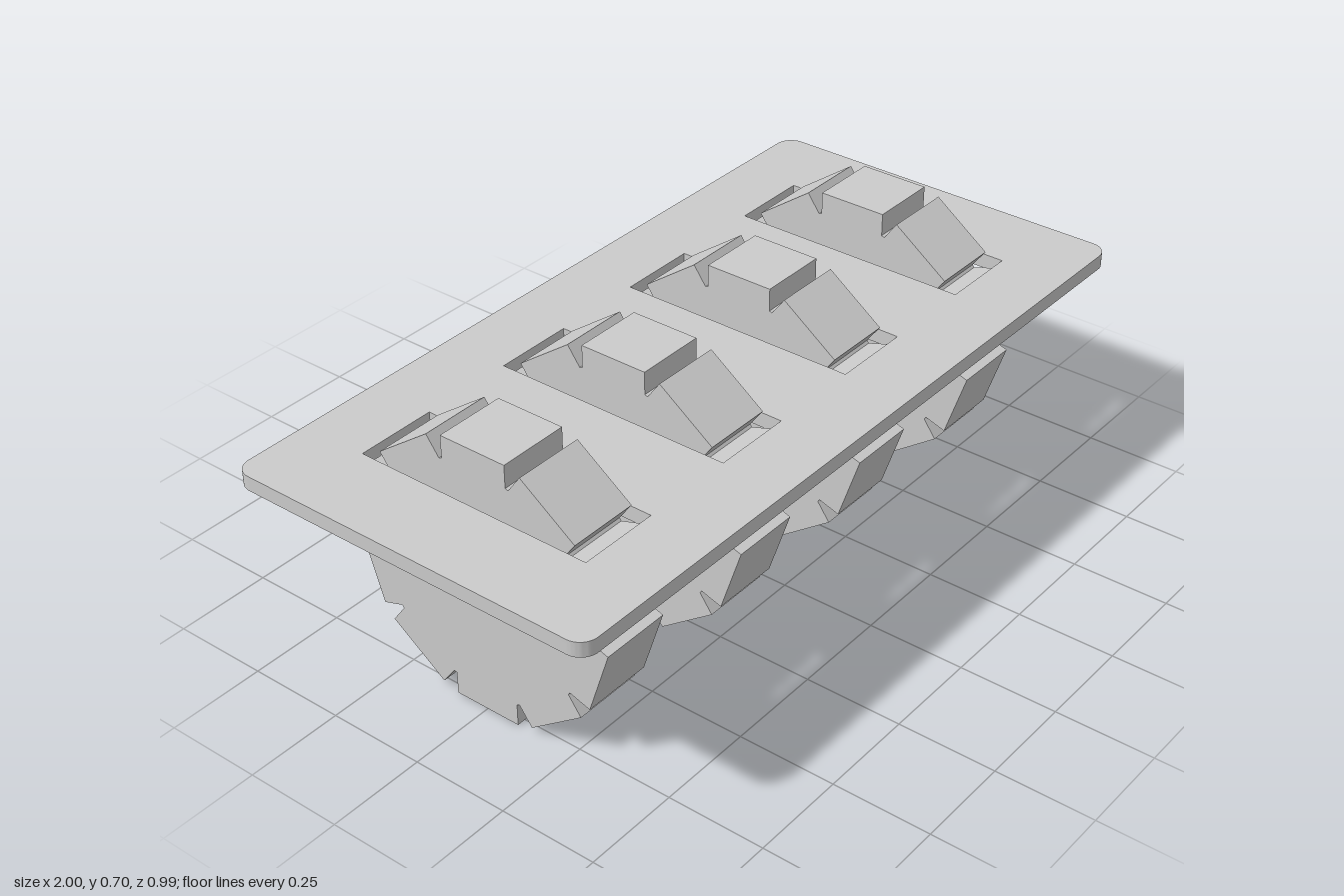
import * as THREE from 'three';
import { toCreasedNormals } from 'three/addons/utils/BufferGeometryUtils.js';

const material = new THREE.MeshStandardMaterial({ color: 0xcccccc });

const WHEEL_X = [-0.682, -0.227, 0.227, 0.682];
const APOTHEM = 0.348;
const WHEEL_WIDTH = 0.182;

// Ten-sided wheel with a notch at every corner, axis along x
function wheelGeometry() {
  const sides = 10, halfFace = 0.09, notchFloor = 0.29;
  const tooth = [
    [-halfFace, notchFloor], [-halfFace, APOTHEM],
    [halfFace, APOTHEM], [halfFace, notchFloor],
  ];
  const points = [];
  for (let i = 0; i < sides; i++) {
    const angle = -i * 2 * Math.PI / sides;
    for (const [x, y] of tooth) {
      points.push(new THREE.Vector2(x, y).rotateAround(new THREE.Vector2(), angle));
    }
  }
  const geometry = new THREE.ExtrudeGeometry(new THREE.Shape(points), { depth: WHEEL_WIDTH, bevelEnabled: false });
  geometry.translate(0, 0, -WHEEL_WIDTH / 2);
  geometry.rotateY(Math.PI / 2);
  return geometry;
}

// Rounded panel lying flat, with one slot per wheel
function panelGeometry() {
  const w = 1, d = 0.494, r = 0.045, thickness = 0.038;
  const shape = new THREE.Shape();
  shape.absarc(w - r, d - r, r, 0, Math.PI / 2);
  shape.absarc(-w + r, d - r, r, Math.PI / 2, Math.PI);
  shape.absarc(-w + r, -d + r, r, Math.PI, Math.PI * 1.5);
  shape.absarc(w - r, -d + r, r, Math.PI * 1.5, Math.PI * 2);
  shape.closePath();

  const sx = 0.1045, sz = 0.318;
  for (const x of WHEEL_X) {
    shape.holes.push(new THREE.Path([
      new THREE.Vector2(x - sx, -sz), new THREE.Vector2(x - sx, sz),
      new THREE.Vector2(x + sx, sz), new THREE.Vector2(x + sx, -sz),
    ]));
  }
  const geometry = new THREE.ExtrudeGeometry(shape, { depth: thickness, bevelEnabled: false, curveSegments: 8 });
  geometry.rotateX(-Math.PI / 2);
  return toCreasedNormals(geometry, 0.5);
}

export function createModel() {
  const model = new THREE.Group();
  model.name = 'thumbwheelPanel';

  const panel = new THREE.Mesh(panelGeometry(), material);
  panel.name = 'panel';
  panel.position.y = 0.523;
  model.add(panel);

  const geometry = wheelGeometry();
  WHEEL_X.forEach((x, i) => {
    const wheel = new THREE.Mesh(geometry, material);
    wheel.name = `wheel${i + 1}`;
    wheel.position.set(x, APOTHEM, 0);
    model.add(wheel);
  });

  return model;
}
